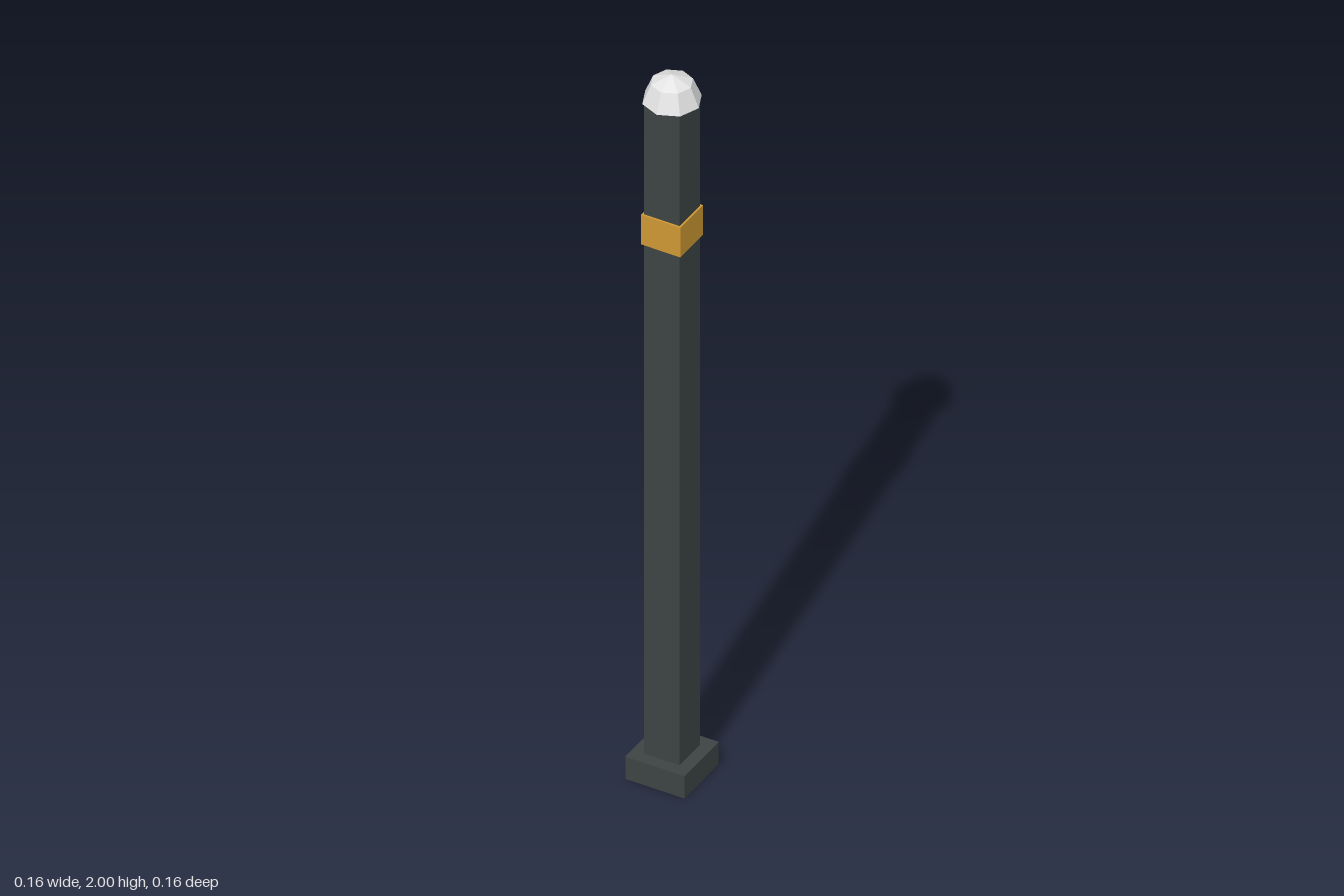
import * as THREE from 'three';

const material = (name, color, flatShading = false) => {
  const m = new THREE.MeshStandardMaterial({ color, flatShading });
  m.name = name;
  return m;
};

export function createModel() {
  const group = new THREE.Group();
  group.name = 'bollardPost';

  const darkMetal = material('darkMetal', 0x3d4444);
  const amber = material('amber', 0xcd9734);
  const paleCap = material('paleCap', 0xe2e2e2, true);

  // Square block between two heights
  const block = (name, width, y0, y1, mat) => {
    const mesh = new THREE.Mesh(new THREE.BoxGeometry(width, y1 - y0, width), mat);
    mesh.name = name;
    mesh.position.y = (y0 + y1) / 2;
    group.add(mesh);
  };

  block('base', 0.16, 0, 0.064, darkMetal);
  block('shaft', 0.096, 0.064, 1.93, darkMetal);
  block('band', 0.106, 1.526, 1.611, amber);

  // Faceted eight-sided dome on top
  const radius = 0.072;
  const cap = new THREE.Mesh(
    new THREE.SphereGeometry(radius, 8, 2, 0, Math.PI * 2, 0, Math.PI / 2),
    paleCap
  );
  cap.name = 'domeCap';
  cap.position.y = 2 - radius;
  group.add(cap);

  return group;
}
